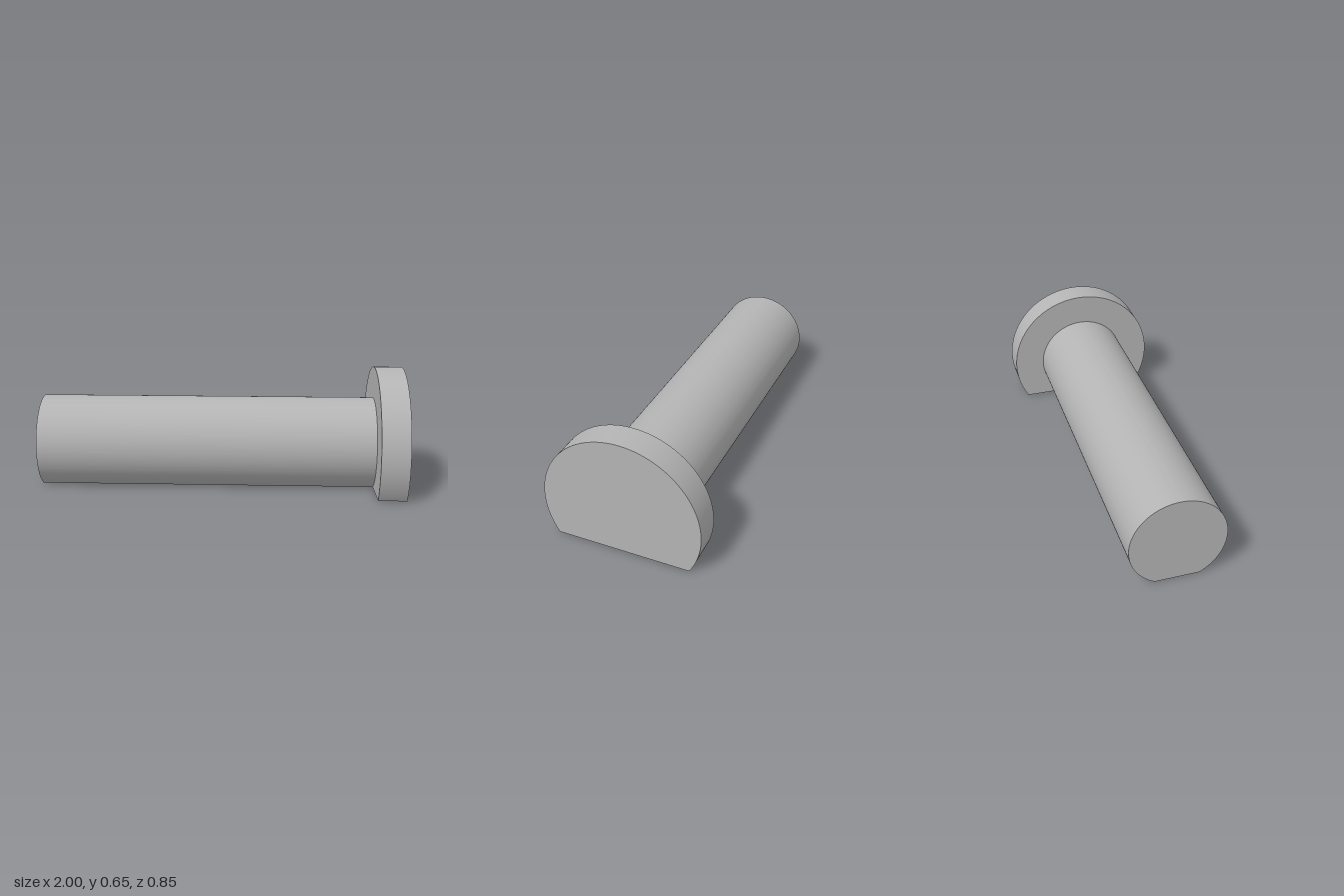
import * as THREE from 'three';
import { toCreasedNormals } from 'three/addons/utils/BufferGeometryUtils.js';

const AXIS_Y = 0.225;

// Round bar along x with a flat cut on its underside at y = 0
function flattenedBar(name, radius, x0, x1, material) {
  const cut = Math.asin(AXIS_Y / radius);
  const shape = new THREE.Shape();
  shape.absarc(0, AXIS_Y, radius, -cut, Math.PI + cut, false);
  shape.closePath();
  const geometry = new THREE.ExtrudeGeometry(shape, {
    depth: x1 - x0, bevelEnabled: false, curveSegments: 72,
  });
  geometry.rotateY(Math.PI / 2).translate(x0, 0, 0);
  const mesh = new THREE.Mesh(toCreasedNormals(geometry, 0.25), material);
  mesh.name = name;
  return mesh;
}

export function createModel() {
  const steel = new THREE.MeshStandardMaterial({ color: 0xb4b4b4 });
  steel.name = 'grey steel';

  const pin = new THREE.Group();
  pin.name = 'flattenedPin';
  pin.add(
    flattenedBar('shaft', 0.254, -1, 0.846, steel),
    flattenedBar('head', 0.426, 0.846, 1, steel),
  );
  return pin;
}
